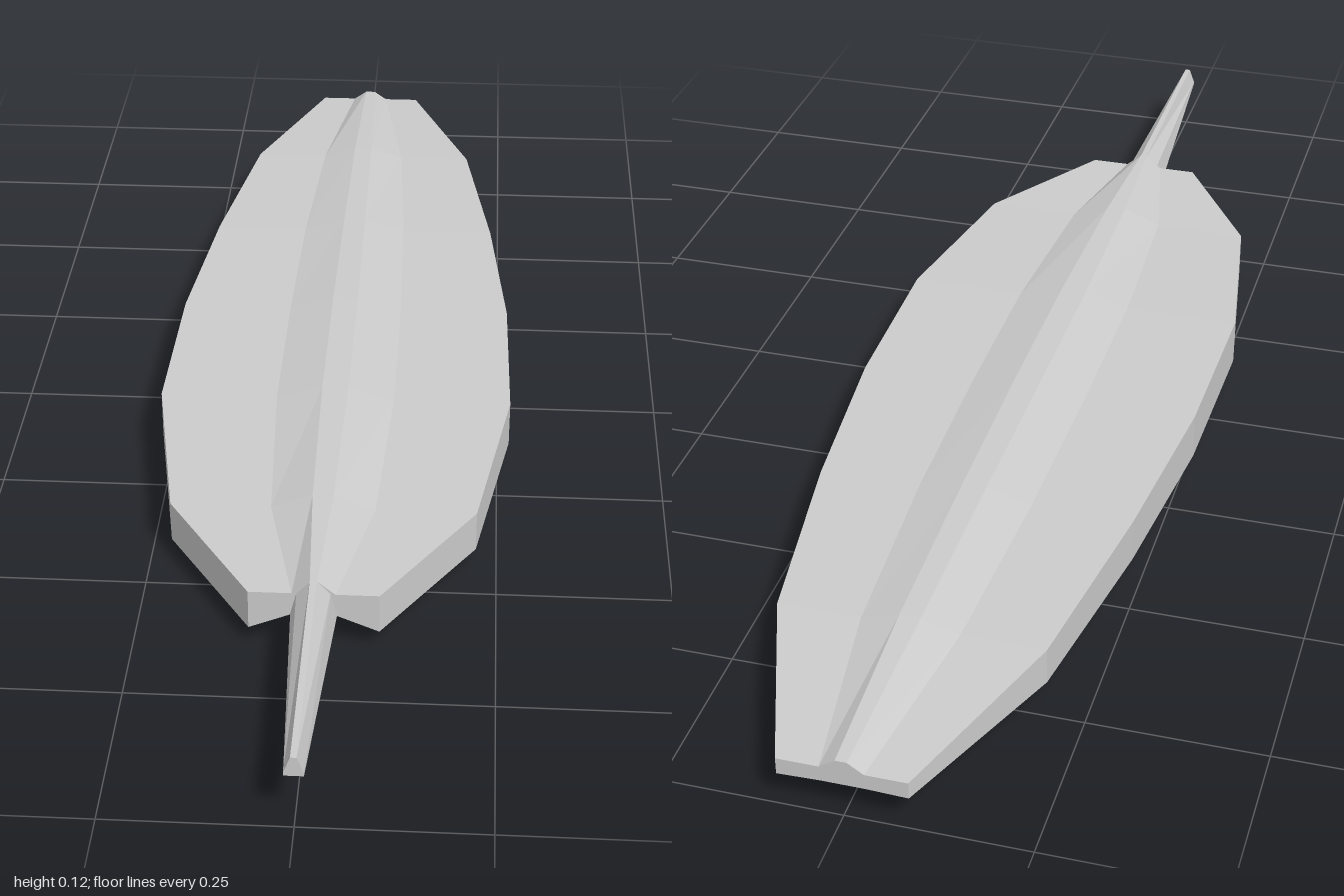
import * as THREE from 'three';

// Mirrors half a cross-section (points from top to bottom on +x) into a full ring.
const ring = (half) => [...half, ...half.slice().reverse().map(([x, y, z]) => [-x, y, z])];

// Skins rings listed from front to back and closes both flat ends.
function loft(halves) {
  const rings = halves.map(ring);
  const out = [];
  const tri = (...corners) => {
    const [a, b, c] = corners.map((p) => new THREE.Vector3(...p));
    if (b.sub(a).cross(c.sub(a)).length() > 1e-9) out.push(...corners.flat());
  };
  for (let i = 0; i < rings.length - 1; i++) {
    const r = rings[i], s = rings[i + 1], n = r.length;
    for (let j = 0; j < n; j++) {
      const k = (j + 1) % n;
      tri(r[j], r[k], s[k]);
      tri(r[j], s[k], s[j]);
    }
  }
  const cap = (r, facing) => {
    const flat = r.map(([x, y]) => new THREE.Vector2(x, y));
    for (const [a, b, c] of THREE.ShapeUtils.triangulateShape(flat, [])) {
      const area = THREE.ShapeUtils.area([flat[a], flat[b], flat[c]]);
      if (area * facing > 0) tri(r[a], r[b], r[c]);
      else tri(r[a], r[c], r[b]);
    }
  };
  cap(rings[0], 1);
  cap(rings[rings.length - 1], -1);
  const geometry = new THREE.BufferGeometry();
  geometry.setAttribute('position', new THREE.Float32BufferAttribute(out, 3));
  geometry.computeVertexNormals();
  return geometry;
}

export function createModel() {
  const group = new THREE.Group();
  group.name = 'hull with bowsprit';
  const material = new THREE.MeshStandardMaterial({ color: 0xcccccc, flatShading: true });
  const add = (name, halves) => {
    const mesh = new THREE.Mesh(loft(halves), material);
    mesh.name = name;
    group.add(mesh);
  };

  // Hull stations: z, half width, deck y, chine y, ridge half width, ridge y,
  // ridge foot x, bottom half width, bottom y, bottom z
  const stations = [
    [0.635, 0.09, 0.09, 0.03, 0.005, 0.111, 0.03, 0.075, 0.012, 0.535],
    [0.43, 0.22, 0.09, 0.028, 0.015, 0.113, 0.075, 0.185, 0.006, 0.43],
    [0.14, 0.268, 0.095, 0.024, 0.02, 0.115, 0.09, 0.235, 0, 0.14],
    [-0.14, 0.263, 0.095, 0.024, 0.02, 0.115, 0.09, 0.23, 0, -0.14],
    [-0.42, 0.235, 0.093, 0.026, 0.018, 0.112, 0.085, 0.2, 0.003, -0.42],
    [-0.72, 0.19, 0.087, 0.032, 0.015, 0.104, 0.07, 0.152, 0.012, -0.70],
    [-1, 0.088, 0.075, 0.05, 0.008, 0.09, 0.03, 0.1, 0.029, -0.9],
  ];
  const section = ([z, w, deck, chine, rw, ry, foot, bw, by, bz]) => [
    [rw, ry, z], [foot, deck, z], [w, deck, z], [w, chine, z], [bw, by, bz],
  ];
  const halves = stations.map(section);

  // End faces: the bottom slopes up to meet the bow and stern
  const end = (half, x, y) => [...half.slice(0, 4), [x, y, half[0][2]]];
  add('hull', [end(halves[0], 0.03, 0.055), ...halves, end(halves[6], 0.03, 0.052)]);

  // Tapering spar ahead of the bow
  add('bowsprit', [
    [[0.004, 0.112, 1], [0.013, 0.088, 1], [0.013, 0.083, 1]],
    [[0.005, 0.111, 0.62], [0.024, 0.09, 0.62], [0.033, 0.055, 0.62]],
  ]);
  return group;
}
